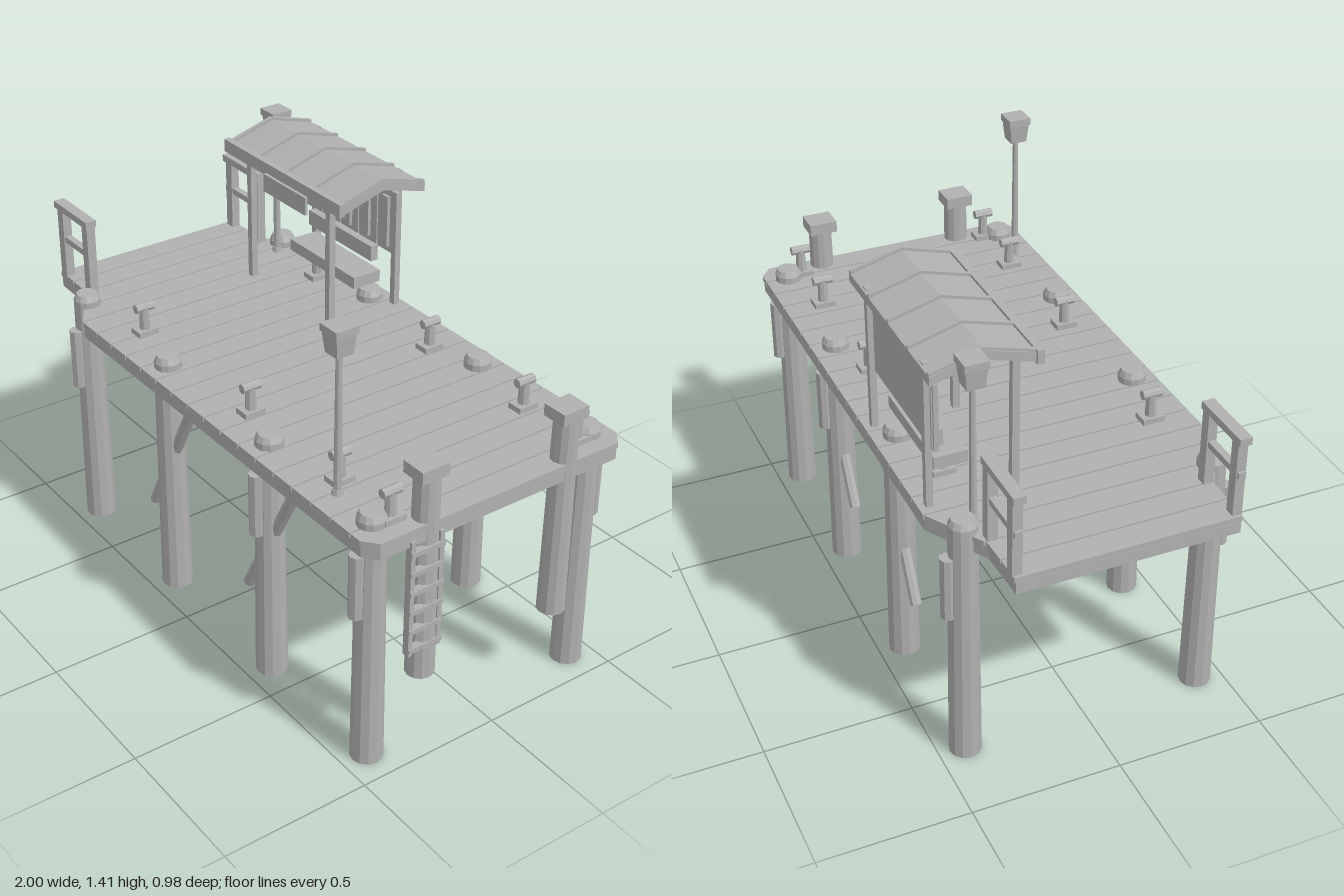
import * as THREE from 'three';

const wood = new THREE.MeshStandardMaterial({ color: 0xb0b0b0, flatShading: true });
wood.name = 'weathered grey';

export function createModel() {
  const model = new THREE.Group();
  model.name = 'pier';

  const add = (name, geometry, x = 0, y = 0, z = 0, parent = model) => {
    const mesh = new THREE.Mesh(geometry, wood);
    mesh.name = name;
    mesh.position.set(x, y, z);
    parent.add(mesh);
    return mesh;
  };
  // Box given by its limits on each axis
  const box = (name, x0, x1, y0, y1, z0, z1, parent = model) =>
    add(name, new THREE.BoxGeometry(x1 - x0, y1 - y0, z1 - z0), (x0 + x1) / 2, (y0 + y1) / 2, (z0 + z1) / 2, parent);
  // Upright cylinder from y0 to y1
  const post = (name, x, z, y0, y1, rBottom, rTop = rBottom, sides = 12, parent = model) =>
    add(name, new THREE.CylinderGeometry(rTop, rBottom, y1 - y0, sides), x, (y0 + y1) / 2, z, parent);
  const group = (name, x = 0, z = 0) => {
    const g = new THREE.Group();
    g.name = name;
    g.position.set(x, 0, z);
    model.add(g);
    return g;
  };

  // Deck plan: half width at chosen x stations, mirrored in z
  const stations = [[-1, 0.365], [-0.82, 0.37], [-0.62, 0.49], [0.94, 0.49], [0.99, 0.45]];
  const halfWidth = (x) => {
    for (let i = 1; i < stations.length; i++) {
      const [xa, wa] = stations[i - 1], [xb, wb] = stations[i];
      if (x <= xb) return wa + ((wb - wa) * (x - xa)) / (xb - xa);
    }
    return stations.at(-1)[1];
  };
  const slab = (name, x0, x1, y0, y1, inset) => {
    const xs = [x0, ...stations.map((s) => s[0]).filter((x) => x > x0 && x < x1), x1];
    const side = xs.map((x) => new THREE.Vector2(x, halfWidth(x) - inset));
    const mirrored = side.map((p) => new THREE.Vector2(p.x, -p.y)).reverse();
    const g = new THREE.ExtrudeGeometry(new THREE.Shape([...side, ...mirrored]), { depth: y1 - y0, bevelEnabled: false });
    g.rotateX(-Math.PI / 2);
    return add(name, g, 0, y0, 0);
  };
  slab('deckFrame', -0.998, 0.985, 0.8, 0.84, 0.004);
  const planks = 21, pitch = 1.99 / planks;
  for (let i = 0; i < planks; i++) {
    slab('deckPlank', -1 + i * pitch + 0.003, -1 + (i + 1) * pitch - 0.003, 0.84, 0.858, 0);
  }

  // Pilings with caps, fenders and slanted braces on both sides
  for (const s of [-1, 1]) {
    for (const x of [-0.73, -0.2, 0.38, 0.89]) {
      post('piling', x, s * 0.41, 0, 0.86, 0.053, 0.046);
      post('pilingCollar', x, s * 0.41, 0.855, 0.88, 0.046);
      post('pilingTop', x, s * 0.41, 0.88, 0.9, 0.046, 0.036);
      if (x !== -0.2) post('fender', x, s * 0.46, 0.55, 0.77, 0.025, 0.025, 8);
    }
    for (const x of [-0.185, 0.395]) {
      const brace = post('brace', x, s * 0.41, 0.235, 0.815, 0.02, 0.02, 8);
      brace.rotation.z = -Math.atan2(0.27, 0.5);
    }
  }

  // End posts with square caps
  for (const s of [-1, 1]) {
    post('endPost', 0.95, s * 0.263, 0.3, 1.005, 0.047, 0.041);
    box('endPostCap', 0.903, 0.99, 1, 1.04, s * 0.263 - 0.049, s * 0.263 + 0.049);
  }

  // Ladder on the end
  const ladder = group('ladder');
  for (const z of [0.232, 0.337]) box('ladderRail', 0.968, 0.993, 0.41, 0.82, z - 0.008, z + 0.008, ladder);
  for (let i = 0; i < 6; i++) {
    const y = 0.43 + i * 0.069;
    box('ladderRung', 0.972, 0.997, y - 0.008, y + 0.008, 0.222, 0.345, ladder);
  }

  // Mooring bollards
  for (const x of [-0.435, 0.2, 0.665, 0.905]) {
    for (const s of [-1, 1]) {
      const b = group('bollard', x, s * 0.355);
      box('bollardBase', -0.028, 0.028, 0.855, 0.877, -0.037, 0.037, b);
      post('bollardStem', 0, 0, 0.875, 0.96, 0.019, 0.016, 8, b);
      const bar = add('bollardBar', new THREE.CylinderGeometry(0.016, 0.016, 0.066, 8), 0, 0.955, 0, b);
      bar.rotation.x = Math.PI / 2;
    }
  }

  // Railings at the narrow end
  for (const s of [-1, 1]) {
    const r = group('railing', 0, s * 0.352);
    for (const x of [-0.968, -0.797]) box('railingPost', x - 0.018, x + 0.018, 0.855, 1.115, -0.016, 0.016, r);
    box('topRail', -1, -0.775, 1.11, 1.135, -0.02, 0.02, r);
    box('middleRail', -0.995, -0.78, 0.992, 1.014, -0.012, 0.012, r);
  }

  // Lamps: thin pole, tapered square lantern and cap
  for (const [x, z] of [[0.715, 0.4], [-0.69, -0.36]]) {
    const lamp = group('lamp', x, z);
    const top = z > 0 ? 1.415 : 1.407;
    post('lampFoot', 0, 0, 0.855, 0.875, 0.02, 0.016, 8, lamp);
    post('lampPole', 0, 0, 0.87, top - 0.08, 0.013, 0.01, 8, lamp);
    const lantern = post('lantern', 0, 0, top - 0.09, top - 0.02, 0.04, 0.05, 4, lamp);
    lantern.rotation.y = Math.PI / 4;
    box('lanternCap', -0.039, 0.039, top - 0.024, top, -0.039, 0.039, lamp);
  }

  // Shelter posts
  const shelter = group('shelter');
  for (const x of [-0.58, -0.12]) {
    box('shelterFrontPost', x - 0.012, x + 0.012, 0.855, 1.355, -0.193, -0.169, shelter);
    box('shelterBackPost', x - 0.012, x + 0.012, 0.855, 1.355, -0.468, -0.446, shelter);
  }
  // Folded roof, ribs share its profile
  const roofStrip = (name, x0, x1, lift, thick) => {
    const zy = [[-0.14, 1.348], [-0.307, 1.395], [-0.475, 1.348]];
    const upper = zy.map(([z, y]) => new THREE.Vector2(-z, y + lift));
    const lower = zy.map(([z, y]) => new THREE.Vector2(-z, y + lift - thick)).reverse();
    const g = new THREE.ExtrudeGeometry(new THREE.Shape([...upper, ...lower]), { depth: x1 - x0, bevelEnabled: false });
    g.rotateY(Math.PI / 2);
    add(name, g, x0, 0, 0, shelter);
  };
  roofStrip('roof', -0.655, 0, 0, 0.03);
  for (let i = 0; i < 5; i++) {
    const x = -0.645 + i * 0.159;
    roofStrip('roofRib', x - 0.007, x + 0.007, 0.01, 0.02);
  }
  box('eaveBoard', -0.665, 0.003, 1.315, 1.36, -0.148, -0.126, shelter);
  // Blank hanging board under the eave
  box('hangingBoard', -0.41, -0.17, 1.262, 1.325, -0.125, -0.114, shelter);

  // Back wall boards with battens
  for (let i = 0; i < 5; i++) {
    const x = -0.61 + i * 0.105;
    box('wallBoard', x + 0.002, x + 0.101, 1.06, 1.287, -0.446, -0.43, shelter);
    box('wallBatten', x + 0.035, x + 0.068, 1.08, 1.265, -0.431, -0.418, shelter);
  }
  box('wallBacking', -0.6, -0.095, 1.065, 1.28, -0.45, -0.44, shelter);

  // Bench
  box('benchSeat', -0.53, -0.155, 0.94, 0.982, -0.418, -0.308, shelter);
  box('benchBack', -0.527, -0.163, 1.02, 1.075, -0.413, -0.385, shelter);

  return model;
}
